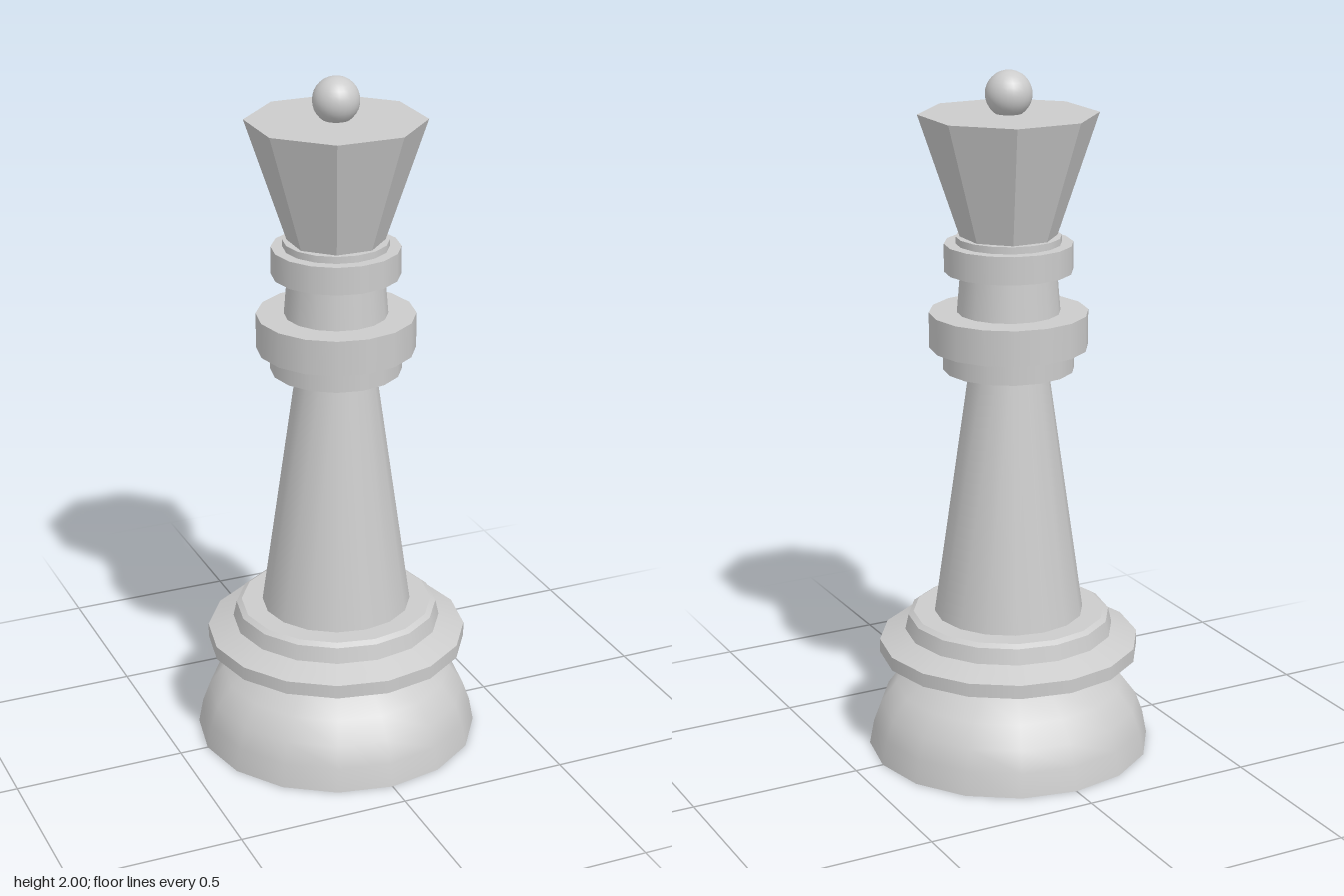
import * as THREE from 'three';

const SIDES = 16;
const solid = new THREE.MeshStandardMaterial({ color: 0xcccccc });
const shell = new THREE.MeshStandardMaterial({ color: 0xcccccc, side: THREE.DoubleSide });
const faceted = new THREE.MeshStandardMaterial({ color: 0xcccccc, flatShading: true });

function add(group, name, geometry, material = solid) {
  const mesh = new THREE.Mesh(geometry, material);
  mesh.name = name;
  group.add(mesh);
  return mesh;
}

// Round section between two heights, closed at both ends
function drum(group, name, rBottom, rTop, y0, y1) {
  const geo = new THREE.CylinderGeometry(rTop, rBottom, y1 - y0, SIDES);
  add(group, name, geo.translate(0, (y0 + y1) / 2, 0));
}

// Open turned shell
function turned(group, name, points) {
  const profile = points.map(([r, y]) => new THREE.Vector2(r, y));
  add(group, name, new THREE.LatheGeometry(profile, SIDES), shell);
}

export function createModel() {
  const model = new THREE.Group();
  model.name = 'chessQueen';

  // Hollow domed foot, open underneath
  turned(model, 'foot', [[0.415, 0], [0.402, 0.07], [0.38, 0.13], [0.335, 0.19], [0.265, 0.24]]);

  // Stepped base ring, one band per profile segment so edges stay sharp
  const ring = new THREE.Group();
  ring.name = 'baseRing';
  const steps = [[0.265, 0.24], [0.38, 0.29], [0.38, 0.33], [0.305, 0.36], [0.295, 0.405], [0.28, 0.415], [0.2, 0.415]];
  for (let i = 0; i < steps.length - 1; i++) turned(ring, 'ringBand', [steps[i], steps[i + 1]]);
  model.add(ring);

  // Tapered stem, neck and collars
  drum(model, 'stem', 0.218, 0.112, 0.414, 1.16);
  drum(model, 'lowerCollar', 0.188, 0.188, 1.15, 1.22);
  drum(model, 'wideCollar', 0.227, 0.227, 1.215, 1.317);
  drum(model, 'neck', 0.148, 0.137, 1.31, 1.44);
  drum(model, 'upperCollar', 0.183, 0.183, 1.435, 1.515);
  drum(model, 'crownSeat', 0.15, 0.15, 1.51, 1.535);

  // Octagonal crown with flat sides facing the axes
  const crown = new THREE.CylinderGeometry(0.254, 0.138, 0.345, 8);
  crown.rotateY(Math.PI / 8).translate(0, 1.7075, 0);
  add(model, 'crown', crown, faceted);

  // Ball on top
  add(model, 'finial', new THREE.SphereGeometry(0.066, 24, 16).translate(0, 1.934, 0));

  return model;
}
